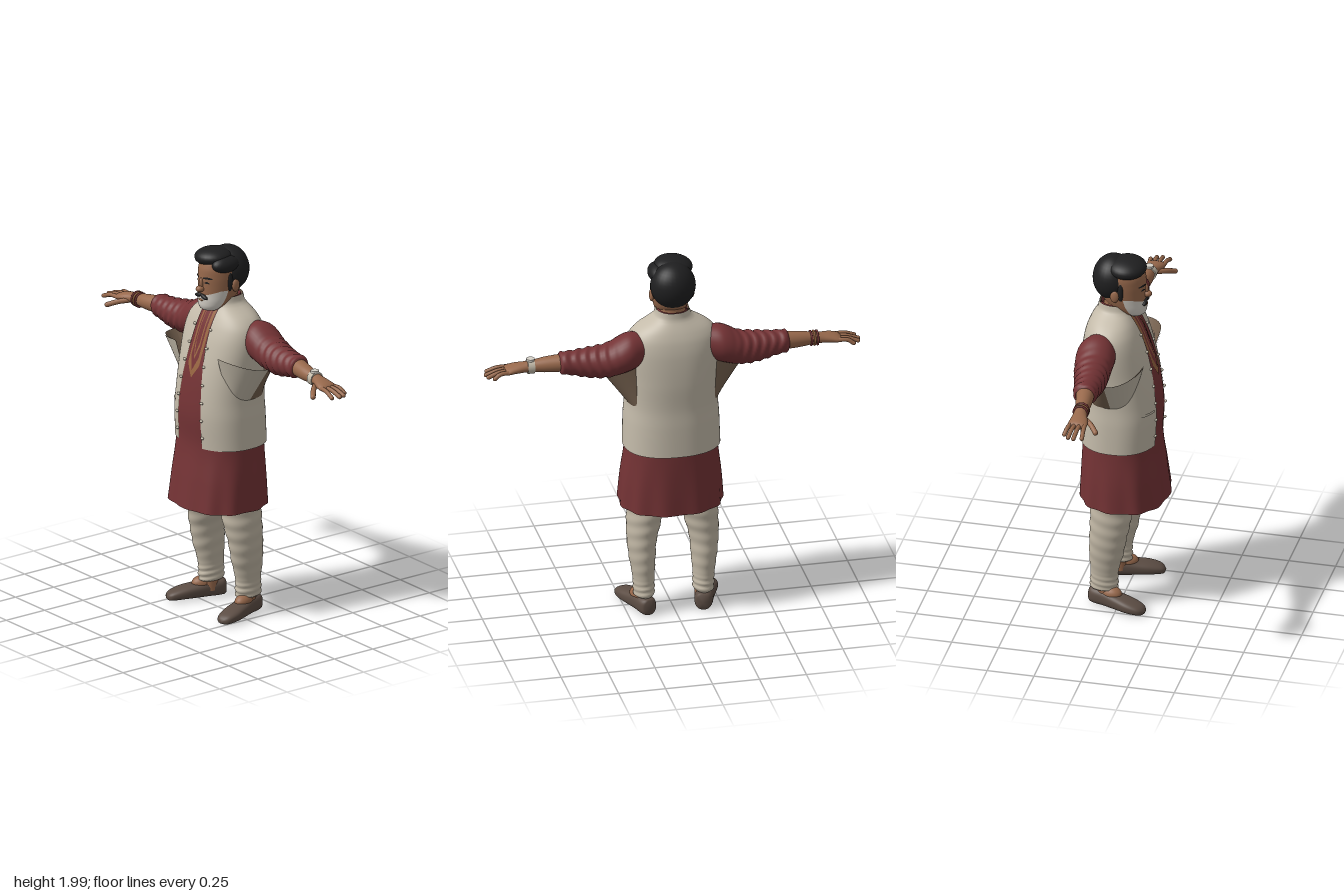
import * as THREE from 'three';
import { mergeVertices } from 'three/addons/utils/BufferGeometryUtils.js';

const mat = (name, color, side = THREE.FrontSide) => new THREE.MeshStandardMaterial({ name, color, side });
const lerp = THREE.MathUtils.lerp;

// Smooth interpolation of a table of rows by its first column
function sample(rows, s) {
  let i = 0;
  while (i < rows.length - 2 && s > rows[i + 1][0]) i++;
  const a = rows[Math.max(i - 1, 0)], b = rows[i], c = rows[i + 1], d = rows[Math.min(i + 2, rows.length - 1)];
  const h = c[0] - b[0], f = (s - b[0]) / h;
  return b.map((_, k) => {
    if (k === 0) return s;
    const m0 = (c[k] - a[k]) / (c[0] - a[0]) * h, m1 = (d[k] - b[k]) / (d[0] - b[0]) * h;
    const f2 = f * f, f3 = f2 * f;
    return (2 * f3 - 3 * f2 + 1) * b[k] + (f3 - 2 * f2 + f) * m0 + (3 * f2 - 2 * f3) * c[k] + (f3 - f2) * m1;
  });
}

// Grid surface from fn(u, v) -> [x, y, z]
function surface(fn, nu, nv) {
  const pos = [], idx = [], w = nu + 1;
  for (let j = 0; j <= nv; j++) for (let i = 0; i <= nu; i++) pos.push(...fn(i / nu, j / nv));
  for (let j = 0; j < nv; j++) for (let i = 0; i < nu; i++) {
    const a = j * w + i;
    idx.push(a, a + 1, a + w, a + 1, a + w + 1, a + w);
  }
  let g = new THREE.BufferGeometry();
  g.setAttribute('position', new THREE.Float32BufferAttribute(pos, 3));
  g.setIndex(idx);
  g = mergeVertices(g, 1e-5);
  g.computeVertexNormals();
  return g;
}

const pow = (c, e) => Math.sign(c) * Math.abs(c) ** e;

// Tube along an axis; rows are [s, sinCentre, cosCentre, sinRadius, cosRadius]
// (axis y: x,z   axis x: z,y   axis z: y,x)
function loft(rows, axis, { n = 2, nu = 36, nv = 40, gap = () => 0, ripple = () => 1 } = {}) {
  const s0 = rows[0][0], s1 = rows[rows.length - 1][0];
  return surface((u, v) => {
    const [s, a, b, ra, rb] = sample(rows, lerp(s0, s1, v));
    const g = gap(s) > 0 ? Math.asin(Math.min(1, (gap(s) / ra) ** (n / 2))) : 0;
    const t = lerp(g, 2 * Math.PI - g, u), k = ripple(t, s);
    const p = a + Math.max(ra, 0) * k * pow(Math.sin(t), 2 / n);
    const q = b + Math.max(rb, 0) * k * pow(Math.cos(t), 2 / n);
    return axis === 'y' ? [p, s, q] : axis === 'x' ? [s, q, p] : [q, p, s];
  }, nu, nv);
}

// Torso and head rows are [y, halfWidth, zBack, zFront]
const toRows = (list, d = 0) => list.map(([y, r, b, f]) => [y, 0, (b + f) / 2, r + d, (f - b) / 2 + d]);

// Thin plate lying on the front of a body
function patch(rows, n, off, y0, y1, xl, xr, nu = 16, nv = 12) {
  return surface((u, v) => {
    const y = lerp(y0, typeof y1 === 'function' ? y1(2 * u - 1) : y1, v);
    const [, , cz, rx, rz] = sample(rows, y), R = rx + off, lim = 0.97 * R;
    const x = THREE.MathUtils.clamp(lerp(xl(y), xr(y), u), -lim, lim);
    const c = Math.sqrt(1 - (Math.abs(x) / R) ** n);
    return [x, y, cz + (rz + off) * pow(c, n === 2 ? 1 : 2 / n)];
  }, nu, nv);
}

function ball(x, y, z, rx, ry, rz, rotZ = 0) {
  return new THREE.SphereGeometry(1, 28, 20).scale(rx, ry, rz).rotateZ(rotZ).translate(x, y, z);
}

function mirrored(geo) {
  const g = geo.clone().scale(-1, 1, 1), ix = g.index.array;
  for (let i = 0; i < ix.length; i += 3) [ix[i], ix[i + 1]] = [ix[i + 1], ix[i]];
  return g;
}

export function createModel() {
  const model = new THREE.Group();
  model.name = 'standingMan';
  const cream = mat('waistcoatCream', 0xc4bbaa), ivory = mat('trouserIvory', 0xbfb5a3);
  const red = mat('tunicRed', 0x743335, THREE.DoubleSide), skin = mat('skin', 0x98694c);
  const black = mat('hairBlack', 0x1f1f20), brown = mat('shoeBrown', 0x5c4d44);
  const white = mat('beardWhite', 0xd6d1c8), trim = mat('trimTan', 0x966440);
  const lining = mat('liningBrown', 0x75614f, THREE.DoubleSide);

  const add = (name, geo, m) => {
    const mesh = new THREE.Mesh(geo, m);
    mesh.name = name;
    model.add(mesh);
  };
  const both = (name, geo, m) => {
    add(name + 'Left', geo, m);
    add(name + 'Right', mirrored(geo), m);
  };

  // Waistcoat, open down the front
  const torso = [[0.94, 0.255, -0.23, 0.19], [1.1, 0.25, -0.225, 0.197], [1.2, 0.243, -0.22, 0.19],
    [1.35, 0.245, -0.223, 0.165], [1.5, 0.25, -0.215, 0.125], [1.58, 0.235, -0.2, 0.095],
    [1.63, 0.195, -0.18, 0.07], [1.665, 0.14, -0.16, 0.05], [1.69, 0.1, -0.145, 0.042], [1.73, 0.088, -0.14, 0.04]];
  const N = 2.3, vest = toRows(torso);
  const gapRows = [[0.94, 0.1], [1.2, 0.09], [1.5, 0.062], [1.73, 0.055]];
  const gap = y => sample(gapRows, y)[1];
  const vestGeo = loft(vest, 'y', { n: N, nu: 64, nv: 60, gap });
  add('waistcoat', vestGeo, cream);
  add('waistcoatLining', loft(toRows(torso, -0.003), 'y', { n: N, nu: 64, nv: 60, gap }), lining);

  // Flared underarm scoops of the waistcoat
  const scoop = (a0, a1, inset) => surface((u, v) => {
    const a = lerp(a0, a1, u), tip = lerp(0.23, 0.4, v) - inset;
    const front = lerp(0.09, 0.165, v) - inset;
    return [0.18 + (tip - 0.18) * Math.sin(a), lerp(1.19, 1.42, v) + 0.03 * v * Math.cos(a) ** 2,
      -0.025 + (a < Math.PI / 2 ? front : 0.12) * Math.cos(a)];
  }, 18, 14);
  both('underarmFlap', scoop(0, Math.PI / 2, 0), cream);
  both('underarmFlapLining', scoop(0, Math.PI / 2, 0.004), lining);
  both('underarmBack', scoop(Math.PI / 2, Math.PI, 0), lining);

  // Pocket welts and front knots
  both('lowerPocket', patch(vest, N, 0.006, 1.15, 1.163, () => 0.12, () => 0.2), cream);
  add('chestPocket', patch(vest, N, 0.006, 1.475, 1.488, () => 0.09, () => 0.2), cream);
  for (let i = 0; i < 7; i++) {
    const y = 1.0 + i * 0.095, x = gap(y) + 0.008, [, , cz, rx, rz] = sample(vest, y);
    const z = cz + rz * (1 - (x / rx) ** N) ** (1 / N);
    both('frontKnot', ball(x, y, z + 0.003, 0.011, 0.007, 0.007), cream);
  }

  // Long tunic with soft folds near the hem
  const tunicList = [[0.6, 0.272, -0.228, 0.232], [0.75, 0.262, -0.223, 0.212],
    ...torso.map(([y, r, b, f]) => [y, r - 0.013, b + 0.013, f - 0.003 - (y > 1.4 ? 0.008 : 0)])];
  const tunic = toRows(tunicList);
  add('tunic', loft(tunic, 'y', { n: N, nu: 96, nv: 70,
    ripple: (t, s) => 1 + 0.022 * Math.sin(11 * t + 1) * Math.max(0, (0.92 - s) / 0.32) }), red);

  // Embroidered neck placket
  const point = (tip, w) => y => w * Math.min(1, (y - tip) / 0.07);
  const plate = (name, off, tip, w, top, m) => {
    const f = point(tip, w);
    add(name, patch(tunic, N, off, tip, top, y => -f(y), f, 10, 30), m);
  };
  plate('placketTrim', 0.004, 1.305, 0.046, 1.7, trim);
  plate('placketPanel', 0.007, 1.345, 0.031, 1.69, red);
  plate('placketStrip', 0.009, 1.4, 0.02, 1.69, trim);
  plate('placketCentre', 0.011, 1.42, 0.014, 1.69, red);

  // Sleeves with gathered folds
  const sleeve = [[0.17, -0.09, 1.53, 0.08, 0.085], [0.25, -0.098, 1.518, 0.102, 0.102],
    [0.35, -0.096, 1.482, 0.095, 0.09], [0.45, -0.084, 1.472, 0.082, 0.08], [0.55, -0.078, 1.477, 0.066, 0.063],
    [0.6, -0.077, 1.48, 0.06, 0.058], [0.61, -0.077, 1.48, 0.045, 0.042]];
  both('sleeve', loft(sleeve, 'x', { nu: 32, nv: 80, ripple: (t, s) =>
    1 + 0.045 * Math.sin(s * 125 + 2.2 * Math.sin(t * 2)) * THREE.MathUtils.smoothstep(s, 0.27, 0.42) }), red);

  // Forearms and palms
  both('forearm', loft([[0.57, -0.077, 1.482, 0.05, 0.048], [0.68, -0.063, 1.474, 0.042, 0.041],
    [0.75, -0.058, 1.47, 0.033, 0.031], [0.79, -0.054, 1.467, 0.036, 0.028], [0.84, -0.048, 1.462, 0.047, 0.025],
    [0.885, -0.048, 1.455, 0.05, 0.018], [0.902, -0.048, 1.452, 0.036, 0.006], [0.906, -0.048, 1.452, 0, 0]], 'x'), skin);

  // Fingers and thumbs
  const finger = (name, pts, r) => {
    const c = new THREE.CatmullRomCurve3(pts.map(p => new THREE.Vector3(...p)));
    both(name, new THREE.TubeGeometry(c, 10, r, 10), skin);
    both(name + 'Tip', ball(...pts[pts.length - 1], r, r, r), skin);
  };
  [[-0.085, -0.098, 0.955], [-0.06, -0.072, 0.983], [-0.035, -0.042, 0.99], [-0.01, 0, 0.978]].forEach(([z0, z1, x1], i) =>
    finger('finger' + (i + 1), [[0.87, 1.457, z0], [0.925, 1.455, lerp(z0, z1, 0.5)], [x1, 1.436, z1]], 0.0115));
  finger('thumb', [[0.795, 1.457, -0.035], [0.84, 1.445, 0.015], [0.882, 1.425, 0.05]], 0.014);

  // Wristwatch and bracelets
  add('watchStrap', new THREE.CylinderGeometry(0.039, 0.039, 0.036, 28).rotateZ(Math.PI / 2).translate(0.757, 1.469, -0.057), cream);
  add('watchFace', new THREE.CylinderGeometry(0.022, 0.022, 0.012, 24).translate(0.757, 1.508, -0.057), white);
  [[-0.735, red], [-0.752, trim], [-0.768, red]].forEach(([x, m]) =>
    add('bracelet', new THREE.TorusGeometry(0.037, 0.0055, 8, 28).rotateY(Math.PI / 2).translate(x, 1.469, -0.057), m));

  // Trousers, bunched at the ankles
  both('trouserLeg', loft([[0.095, 0.158, -0.078, 0.046, 0.066], [0.1, 0.158, -0.078, 0.053, 0.073],
    [0.2, 0.16, -0.075, 0.057, 0.074], [0.3, 0.164, -0.065, 0.068, 0.09], [0.4, 0.165, -0.055, 0.077, 0.098],
    [0.5, 0.153, -0.045, 0.09, 0.108], [0.6, 0.14, -0.04, 0.098, 0.112], [0.75, 0.13, -0.03, 0.1, 0.12]], 'y', { nv: 90,
    ripple: (t, s) => 1 + (s < 0.2 ? 0.05 : 0.018) * Math.sin(s * (s < 0.2 ? 190 : 85) + 1.8 * Math.sin(t + 1)) *
      THREE.MathUtils.clamp(Math.abs(s - 0.2) * 20, 0, 1) }), ivory);

  // Shoes with toes turned out, and bare insteps
  const turn = g => g.rotateY(0.3).translate(0.163, 0, -0.08);
  both('shoe', turn(loft([[-0.083, 0.045, 0, 0.0, 0.0], [-0.078, 0.045, 0, 0.036, 0.028], [-0.05, 0.047, 0, 0.046, 0.046],
    [0.02, 0.046, 0, 0.045, 0.049], [0.09, 0.04, 0.002, 0.039, 0.053], [0.16, 0.034, 0.004, 0.033, 0.055],
    [0.215, 0.026, 0.002, 0.025, 0.045], [0.24, 0.02, 0, 0.016, 0.028], [0.25, 0.018, 0, 0, 0]], 'z', { n: 2.6 })), brown);
  both('instep', turn(ball(0, 0.075, 0.045, 0.042, 0.04, 0.062)), skin);
  both('ankle', new THREE.CylinderGeometry(0.045, 0.045, 0.1, 20).translate(0.16, 0.09, -0.07), skin);

  // Neck and head
  add('neck', new THREE.CylinderGeometry(0.068, 0.074, 0.18, 28).translate(0, 1.67, -0.045), skin);
  const head = toRows([[1.655, 0.005, 0.035, 0.055], [1.662, 0.04, 0, 0.088], [1.68, 0.066, -0.04, 0.104],
    [1.71, 0.083, -0.085, 0.109], [1.75, 0.094, -0.12, 0.108], [1.8, 0.101, -0.14, 0.108], [1.85, 0.104, -0.15, 0.108],
    [1.9, 0.1, -0.145, 0.102], [1.94, 0.08, -0.12, 0.075], [1.96, 0.01, -0.04, 0]]);
  add('head', loft(head, 'y'), skin);
  both('ear', ball(0.108, 1.8, -0.035, 0.012, 0.034, 0.023), skin);
  add('nose', ball(0, 1.783, 0.115, 0.021, 0.018, 0.025), skin);
  add('noseBridge', ball(0, 1.808, 0.106, 0.013, 0.036, 0.016), skin);

  // Beard, moustache, lip, eyes and brows
  add('beard', patch(head, 2, 0.004, 1.664, u => 1.74 + 0.04 * Math.min(1, Math.abs(u) * 1.2), () => -0.2, () => 0.2, 2, 2), white);
  model.children[model.children.length - 1].geometry = surface((u, v) => {
    const k = 2 * u - 1, t = k * 1.4, y = lerp(1.664, 1.742 + 0.036 * Math.min(1, Math.abs(k) * 1.3), v);
    const [, , cz, rx, rz] = sample(head, y);
    return [(rx + 0.004) * Math.sin(t), y, cz + (rz + 0.004) * Math.cos(t)];
  }, 36, 14);
  both('moustache', ball(0.022, 1.743, 0.108, 0.029, 0.011, 0.012, -0.28), black);
  add('lowerLip', ball(0, 1.722, 0.11, 0.02, 0.006, 0.007), trim);
  both('eyebrow', patch(head, 2, 0.004, 1.842, u => 1.853 - 0.005 * u * u, () => 0.017, () => 0.066), black);
  both('eye', patch(head, 2, 0.003, 1.817, u => 1.819 + 0.009 * (1 - u * u), () => 0.025, () => 0.053), black);

  // Hair: back mass, side-swept front and sideburns
  add('hairBack', ball(0, 1.862, -0.066, 0.119, 0.124, 0.108), black);
  add('hairFront', ball(-0.018, 1.938, 0.012, 0.102, 0.05, 0.102, 0.08), black);
  add('hairSide', ball(0.07, 1.915, 0.0, 0.05, 0.042, 0.085, -0.45), black);
  both('sideburn', ball(0.097, 1.825, -0.006, 0.012, 0.055, 0.016), black);
  return model;
}
